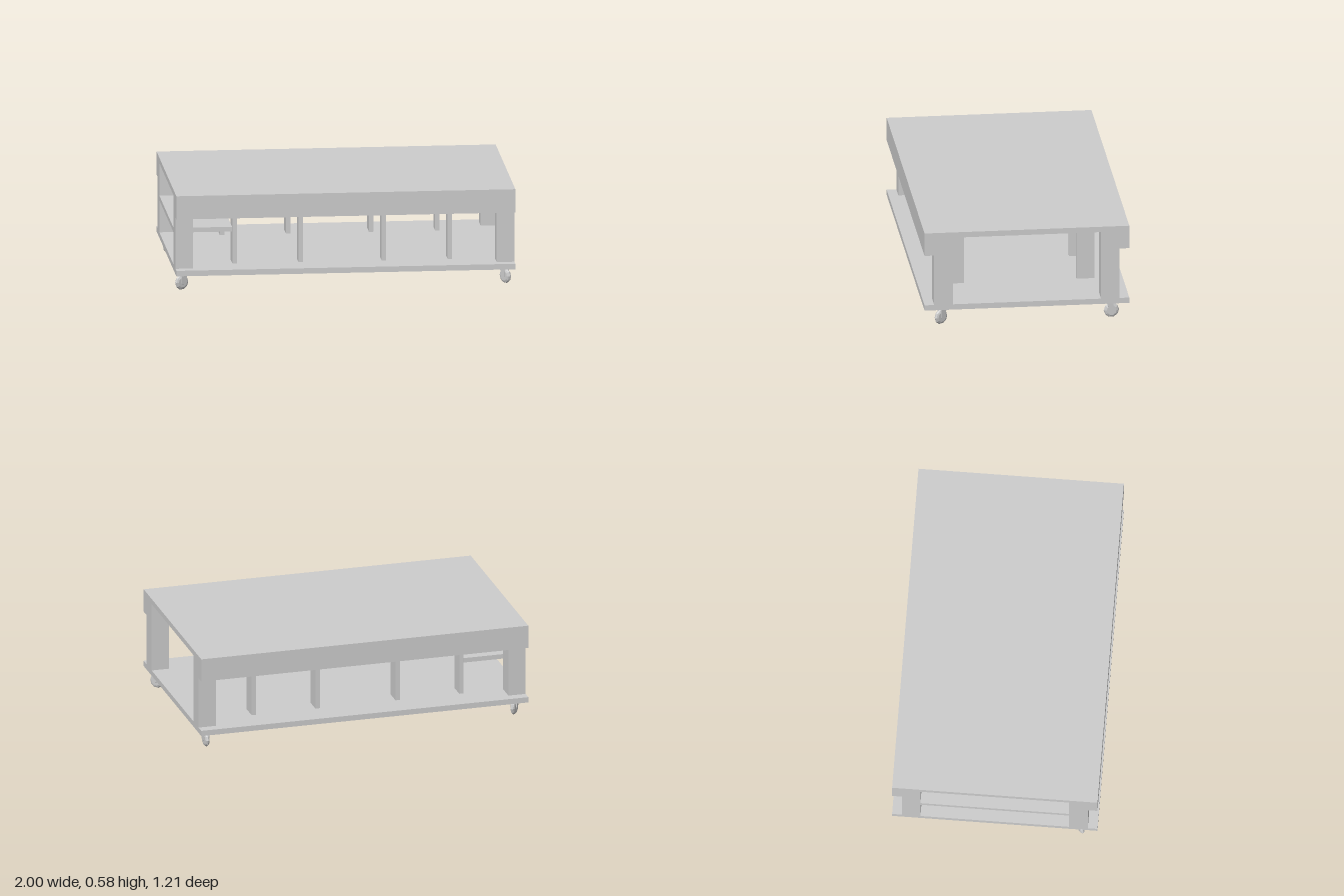
import * as THREE from 'three';

const grey = new THREE.MeshStandardMaterial({ color: 0xcccccc, flatShading: true, side: THREE.DoubleSide });

export function createModel() {
  const model = new THREE.Group();
  model.name = 'rollingTable';

  // Board given by its minimum and maximum corners
  const board = (name, x0, x1, y0, y1, z0, z1) => {
    const mesh = new THREE.Mesh(new THREE.BoxGeometry(x1 - x0, y1 - y0, z1 - z0), grey);
    mesh.position.set((x0 + x1) / 2, (y0 + y1) / 2, (z0 + z1) / 2);
    mesh.name = name;
    model.add(mesh);
  };

  const floorY = 0.137, underTop = 0.553;
  board('tableTop', -1, 1, underTop, 0.586, -0.605, 0.605);
  board('baseBoard', -1, 1, 0.104, floorY, -0.605, 0.605);
  board('shelf', -1, -0.655, 0.33, 0.358, -0.438, 0.438);

  // Aprons, corner legs and short dividers on both long sides
  for (const s of [-1, 1]) {
    const span = (a, b) => [Math.min(a * s, b * s), Math.max(a * s, b * s)];
    board('apron', -1, 1, 0.446, underTop, ...span(0.548, 0.605));
    for (const x of [-1, 0.895]) board('leg', x, x + 0.105, floorY, underTop, ...span(0.438, 0.548));
    for (const x of [-0.64, -0.25, 0.24, 0.63]) {
      board('divider', x - 0.0135, x + 0.0135, floorY, underTop, ...span(0.333, 0.438));
    }
  }

  // Swivel casters: x, z, heading in degrees
  const casters = [[0.945, 0.495, 35], [-0.95, 0.495, -60], [0.945, -0.495, 5], [-0.95, -0.495, -35]];
  for (const [x, z, deg] of casters) model.add(createCaster(x, z, deg));
  return model;
}

function createCaster(x, z, deg) {
  const caster = new THREE.Group();
  caster.name = 'caster';
  const add = (name, geo, px, py, pz) => {
    const mesh = new THREE.Mesh(geo, grey);
    mesh.name = name;
    mesh.position.set(px, py, pz);
    caster.add(mesh);
  };
  const trail = 0.01 * Math.sign(z);

  // Low-sided wheel with a rounded tread, axle along x
  const profile = [[0, -0.014], [0.03, -0.014], [0.041, -0.009], [0.046, 0], [0.041, 0.009], [0.03, 0.014], [0, 0.014]];
  const wheel = new THREE.LatheGeometry(profile.map(p => new THREE.Vector2(...p)), 10);
  wheel.rotateZ(Math.PI / 2);
  add('wheel', wheel, 0, 0.046, trail);

  // Tapered fork cheeks on either side of the wheel
  const cheek = new THREE.Shape([
    [-0.02, 0.094], [0.02, 0.094], [0.012 + trail, 0.042], [trail, 0.032], [-0.012 + trail, 0.042],
  ].map(p => new THREE.Vector2(...p)));
  const cheekGeo = new THREE.ExtrudeGeometry(cheek, { depth: 0.004, bevelEnabled: false });
  cheekGeo.rotateY(-Math.PI / 2);
  for (const side of [0.019, -0.015]) add('forkCheek', cheekGeo, side, 0, 0);

  add('forkCrown', new THREE.BoxGeometry(0.038, 0.004, 0.04), 0, 0.094, 0);
  add('swivelPlate', new THREE.CylinderGeometry(0.035, 0.035, 0.008, 10), 0, 0.1, 0);
  caster.position.set(x, 0, z);
  caster.rotation.y = THREE.MathUtils.degToRad(deg);
  return caster;
}
